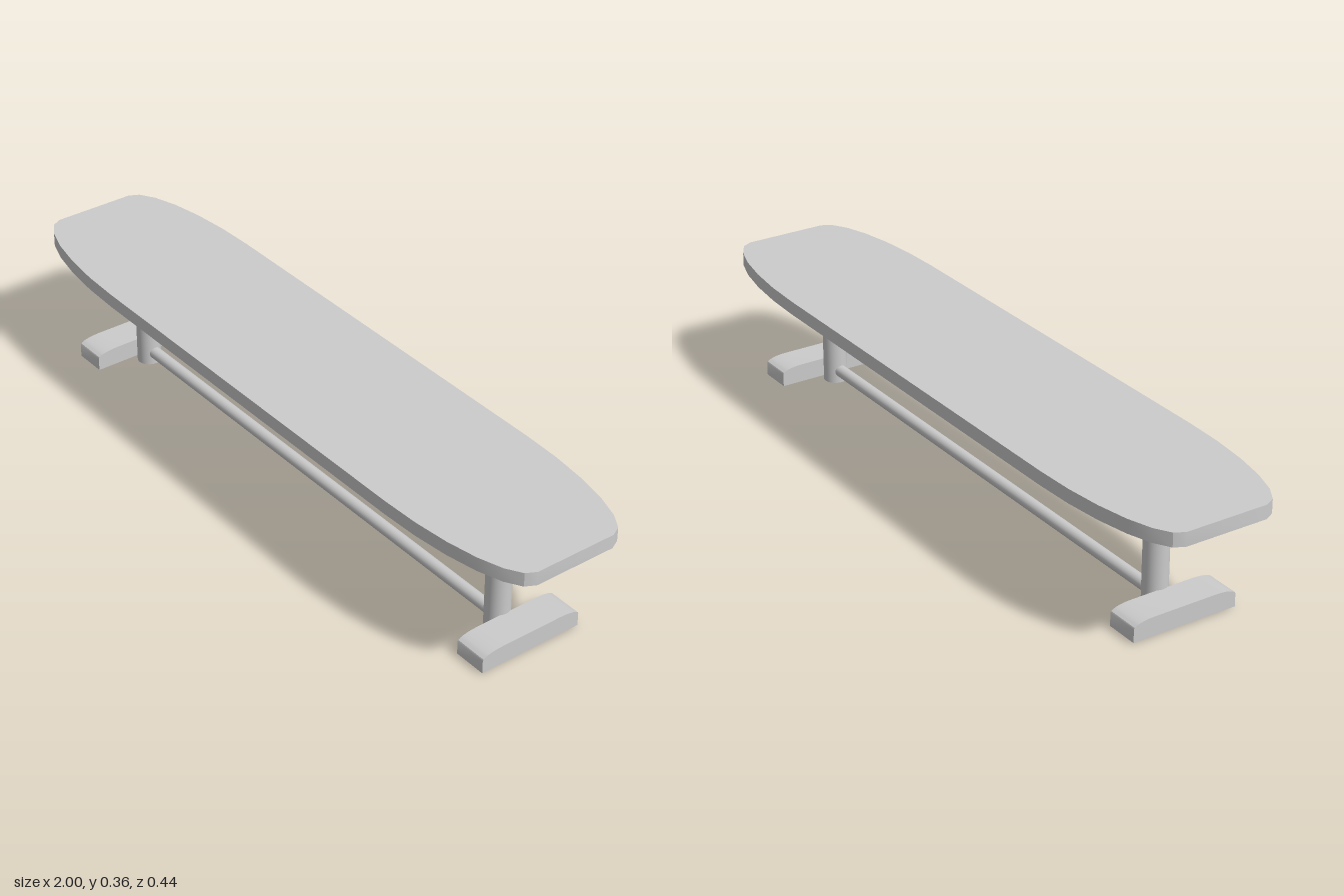
import * as THREE from 'three';
import { toCreasedNormals } from 'three/addons/utils/BufferGeometryUtils.js';

const material = new THREE.MeshStandardMaterial({ color: 0xcccccc });

// Quarter ellipse with centre (cx, cy), swept a quarter turn from angle start
function corner(cx, cy, rx, ry, start, steps = 6) {
  const points = [];
  for (let i = 0; i <= steps; i++) {
    const a = start + (Math.PI / 2) * (i / steps);
    points.push(new THREE.Vector2(cx + rx * Math.cos(a), cy + ry * Math.sin(a)));
  }
  return points;
}

function slab(points, depth) {
  const geometry = new THREE.ExtrudeGeometry(new THREE.Shape(points), { depth, bevelEnabled: false });
  return toCreasedNormals(geometry, 0.5);
}

function addPart(group, name, geometry, x, y, z) {
  const mesh = new THREE.Mesh(geometry, material);
  mesh.name = name;
  mesh.position.set(x, y, z);
  group.add(mesh);
  return mesh;
}

export function createModel() {
  const group = new THREE.Group();
  group.name = 'bench';
  const midX = 0.012, midZ = 0.01; // the base sits slightly off the seat centre

  // Long seat board: straight sides, elliptical shoulders, blunt ends
  const seatOutline = [
    ...corner(0.58, 0.115, 0.42, 0.106, 0),
    ...corner(-0.58, 0.115, 0.42, 0.106, Math.PI / 2),
    ...corner(-0.58, -0.115, 0.42, 0.106, Math.PI),
    ...corner(0.58, -0.115, 0.42, 0.106, Math.PI * 1.5),
  ];
  const seat = slab(seatOutline, 0.038);
  seat.rotateX(-Math.PI / 2);
  addPart(group, 'seat', seat, 0, 0.32, 0);

  // Foot profile across the bench, with rounded top corners
  const footOutline = [
    new THREE.Vector2(-0.15, 0),
    new THREE.Vector2(0.15, 0),
    ...corner(0.09, 0.036, 0.06, 0.016, 0),
    ...corner(-0.09, 0.036, 0.06, 0.016, Math.PI / 2),
  ];
  const foot = slab(footOutline, 0.092);
  foot.translate(0, 0, -0.046);
  foot.rotateY(Math.PI / 2);

  // Round leg and the foot fixed to its outer side, at each end
  const leg = new THREE.CylinderGeometry(0.033, 0.033, 0.32, 32);
  for (const [side, s] of [['left', 1], ['right', -1]]) {
    addPart(group, side + 'Leg', leg, midX + s * 0.745, 0.16, midZ);
    addPart(group, side + 'Foot', foot, midX + s * 0.82, 0.003, 0.008);
  }

  // Stretcher rod between the legs
  const rod = new THREE.CylinderGeometry(0.017, 0.017, 1.46, 24);
  rod.rotateZ(Math.PI / 2);
  addPart(group, 'stretcher', rod, midX, 0.034, midZ);

  return group;
}
